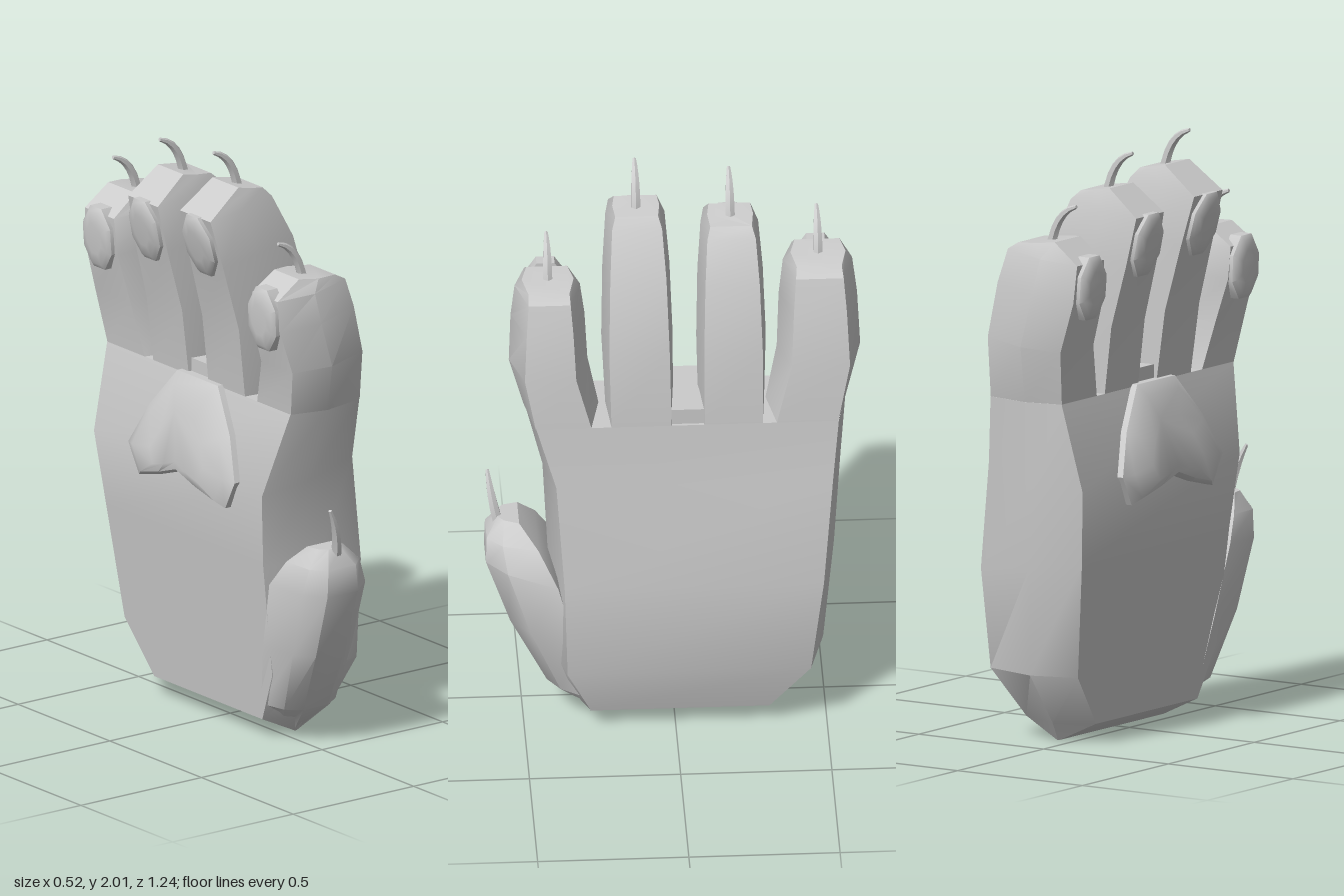
import * as THREE from 'three';
import { toCreasedNormals } from 'three/addons/utils/BufferGeometryUtils.js';

const material = new THREE.MeshStandardMaterial({ color: 0xcccccc });

// Skin a list of equal-length point rings and close both ends.
function loft(name, rings, crease = 0.6) {
  const pos = [];
  const tri = (a, b, c) => pos.push(...a, ...b, ...c);
  const n = rings[0].length, last = rings[rings.length - 1];
  for (let i = 0; i < rings.length - 1; i++) {
    for (let j = 0; j < n; j++) {
      const k = (j + 1) % n;
      tri(rings[i][j], rings[i][k], rings[i + 1][k]);
      tri(rings[i][j], rings[i + 1][k], rings[i + 1][j]);
    }
  }
  for (let j = 1; j < n - 1; j++) {
    tri(last[0], last[j], last[j + 1]);
    tri(rings[0][0], rings[0][j + 1], rings[0][j]);
  }
  const geo = new THREE.BufferGeometry();
  geo.setAttribute('position', new THREE.Float32BufferAttribute(pos, 3));
  const mesh = new THREE.Mesh(toCreasedNormals(geo, crease), material);
  mesh.name = name;
  return mesh;
}

// Six-sided section: flat back (+x) and front (-x), with ridged sides.
function hex(yb, xb, yf, xf, z0, z1, b) {
  const xm = xb * 0.45 + xf * 0.55, ym = (yb + yf) / 2;
  return [[xb, yb, z0 + b], [xm, ym, z0], [xf, yf, z0 + b],
    [xf, yf, z1 - b], [xm, ym, z1], [xb, yb, z1 - b]];
}

// Cushion raised toward -x over an outline of [z, y] points.
function cushion(name, outline, surface, height) {
  const cz = outline.reduce((s, p) => s + p[0], 0) / outline.length;
  const cy = outline.reduce((s, p) => s + p[1], 0) / outline.length;
  const steps = [[1, -0.03], [1, height * 0.45], [0.85, height * 0.85], [0.5, height]];
  return loft(name, steps.map(([s, h]) => outline.map(([z, y]) => {
    const py = cy + (y - cy) * s;
    return [surface(py) - h, py, cz + (z - cz) * s];
  })), 0.75);
}

// Curved, tapering claw through three points.
function claw(a, b, c) {
  const curve = new THREE.QuadraticBezierCurve3(
    new THREE.Vector3(...a), new THREE.Vector3(...b), new THREE.Vector3(...c));
  const rings = [];
  for (let i = 0; i <= 6; i++) {
    const t = i / 6, p = curve.getPoint(t), d = curve.getTangent(t);
    const out = new THREE.Vector3().crossVectors(d, new THREE.Vector3(0, 0, 1)).normalize();
    const side = new THREE.Vector3().crossVectors(out, d);
    const w = 0.018 * (1 - 0.65 * t * t), ring = [];
    for (let j = 0; j < 6; j++) {
      const q = -j * Math.PI / 3;
      ring.push(p.clone().addScaledVector(out, Math.cos(q) * w)
        .addScaledVector(side, Math.sin(q) * w).toArray());
    }
    rings.push(ring);
  }
  return loft('claw', rings, 0.9);
}

// Shared finger profile, from knuckle to tip; lean bends the finger toward -x.
const BASE_Y = 1.17;
const backT = [0, 0.38, 0.72, 0.93, 0.975];
const backX = [0.185, 0.17, 0.14, 0.11, 0.07];
const backLean = [0, 0, 0.04, 0.09, 0.08];
const frontT = [0, 0.33, 0.64, 0.87, 1];
const frontX = [-0.10, -0.12, -0.165, -0.17, -0.08];
const frontLean = [0, 0.01, 0.025, 0.065, 0.03];
const width = [0.95, 1, 0.94, 0.83, 0.66];
const bevelScale = [0.7, 1, 1, 0.85, 0.4];

function makeFinger(name, baseZ, z, half, tipY, lean, bevel) {
  const finger = new THREE.Group();
  finger.name = name;
  const level = t => BASE_Y + (tipY - BASE_Y) * t;
  const front = i => frontX[i] - lean * frontLean[i];
  finger.add(loft('finger', backT.map((t, i) => {
    const c = i === 0 ? baseZ : z, w = half * width[i];
    return hex(level(t), backX[i] - lean * backLean[i], level(frontT[i]), front(i),
      c - w, c + w, bevel * bevelScale[i]);
  })));

  // Toe pad on the sloping front face
  const y0 = level(frontT[2]), y1 = level(frontT[3]), cy = (y0 + y1) / 2 - 0.02;
  const outline = [];
  for (let i = 0; i < 8; i++) {
    const a = (i + 0.5) * Math.PI / 4;
    outline.push([z + Math.cos(a) * 0.078, cy + Math.sin(a) * 0.115]);
  }
  const slope = (front(3) - front(2)) / (y1 - y0);
  finger.add(cushion('toePad', outline, y => front(2) + (y - y0) * slope, 0.03));

  const cx = -0.01 - 0.045 * lean;
  finger.add(claw([cx, tipY - 0.05, z], [cx - 0.02, tipY + 0.09, z],
    [cx - 0.105, tipY + 0.112, z]));
  return finger;
}

export function createModel() {
  const paw = new THREE.Group();
  paw.name = 'paw';

  // Palm, tapering to a ridge at the wrist
  paw.add(loft('palm', [
    hex(0, 0.065, 0, 0.055, -0.33, 0.28, 0.002),
    hex(0.065, 0.20, 0.065, -0.08, -0.38, 0.35, 0.07),
    hex(0.24, 0.25, 0.24, -0.10, -0.495, 0.41, 0.05),
    hex(0.58, 0.26, 0.63, -0.145, -0.532, 0.415, 0.045),
    hex(0.95, 0.205, 0.88, -0.17, -0.555, 0.43, 0.035),
    hex(BASE_Y, 0.185, BASE_Y, -0.10, -0.57, 0.49, 0.03),
  ]));

  // Raised web between the two middle fingers
  paw.add(loft('fingerWeb', [1.10, 1.225].map(y => hex(y, 0.175, y, -0.09, -0.10, 0.02, 0))));

  // Fingers with toe pads and claws
  paw.add(
    makeFinger('firstFinger', 0.37, 0.412, 0.13, 1.64, 0, 0.045),
    makeFinger('secondFinger', 0.112, 0.118, 0.118, 1.89, 1, 0.018),
    makeFinger('thirdFinger', -0.192, -0.193, 0.115, 1.855, 0.7, 0.018),
    makeFinger('fourthFinger', -0.437, -0.482, 0.138, 1.715, 0.1, 0.042),
  );

  // Palm pad: narrow top, two mirrored lower lobes with a notch between
  const lobe = [[0.11, 1.18], [0.22, 1.04], [0.29, 0.90], [0.235, 0.80], [0.115, 0.83]];
  const outline = [
    ...lobe.map(([o, y]) => [-0.02 - o, y]),
    [-0.02, 0.87],
    ...lobe.map(([o, y]) => [-0.02 + o, y]).reverse(),
  ];
  paw.add(cushion('palmPad', outline,
    y => -0.17 + Math.abs(y - 0.88) * (y < 0.88 ? 0.1 : 0.24), 0.05));

  // Thumb rows: y, inner z, outer z, then x: inner back, outer back, outer front, inner front
  const thumb = new THREE.Group();
  thumb.name = 'thumb';
  thumb.add(loft('thumbBody', [
    [0.005, 0.10, 0.28, 0.07, 0.065, 0.05, 0.05],
    [0.12, 0.28, 0.42, 0.215, 0.12, -0.05, -0.085],
    [0.34, 0.33, 0.54, 0.24, 0.10, -0.095, -0.115],
    [0.57, 0.39, 0.62, 0.235, 0.10, -0.11, -0.135],
    [0.66, 0.45, 0.617, 0.14, 0.09, -0.10, -0.11],
    [0.72, 0.51, 0.58, 0.06, 0.03, -0.05, -0.07],
  ].map(([y, zi, zo, bi, bo, fo, fi]) => {
    const mid = zi + (zo - zi) * 0.7;
    return [[bi, y, zi], [fi, y, zi], [fi * 0.4 + fo * 0.6, y, mid],
      [fo * 0.8 + bo * 0.2, y, zo], [bo * 0.8 + fo * 0.2, y, zo], [bo * 0.7 + bi * 0.3, y, mid]];
  }), 0.7));
  thumb.add(claw([0, 0.68, 0.575], [-0.005, 0.78, 0.60], [-0.05, 0.865, 0.61]));
  paw.add(thumb);

  return paw;
}
